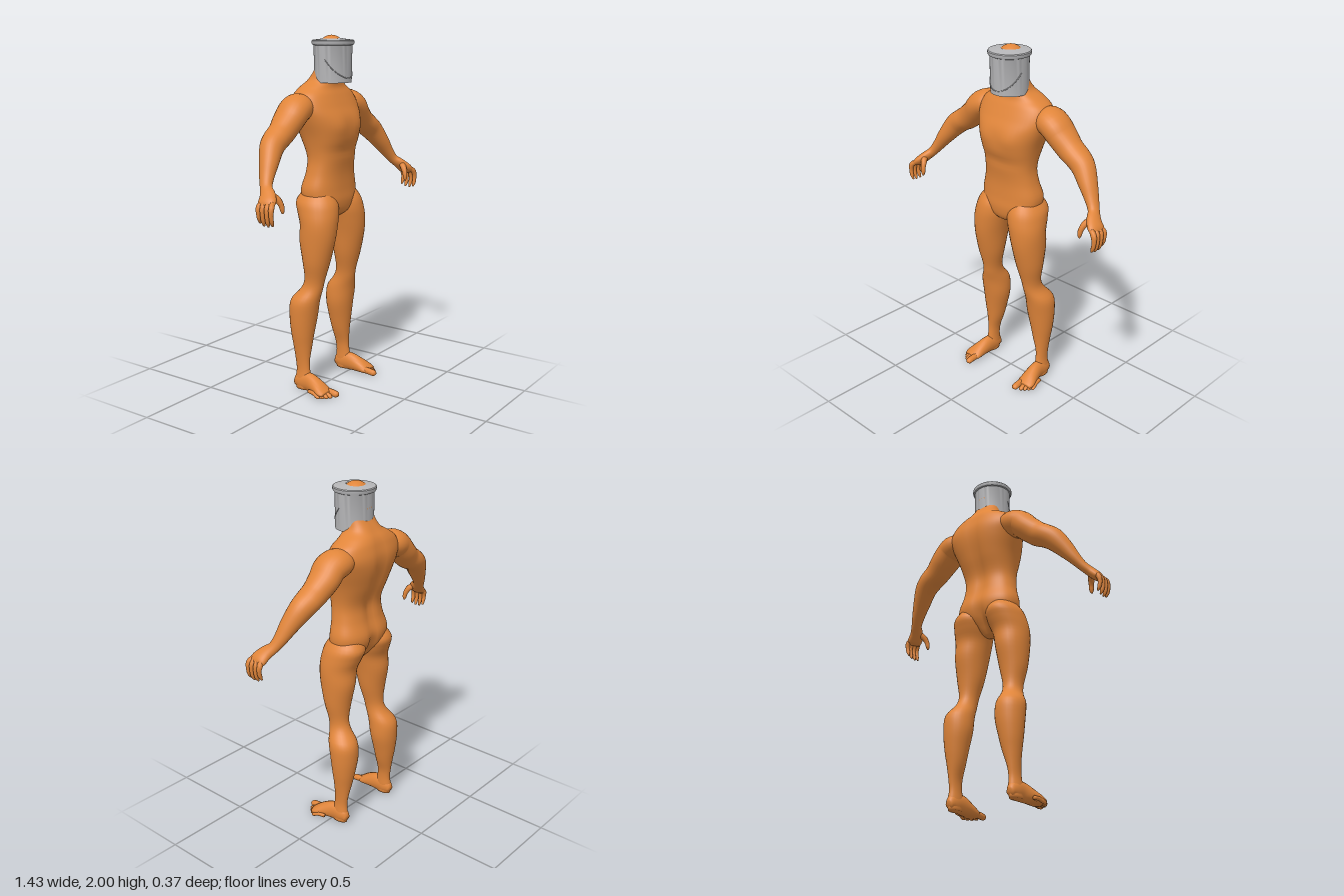
import * as THREE from 'three';
import { toCreasedNormals } from 'three/addons/utils/BufferGeometryUtils.js';

const X = new THREE.Vector3(1, 0, 0);
const Y = new THREE.Vector3(0, 1, 0);
const Z = new THREE.Vector3(0, 0, 1);
const bump = (v, centre, width) => Math.exp(-(((v - centre) / width) ** 2));

// Smooth skin through elliptical sections [x, y, z, radius across, radius along side].
function loft(sections, { side = Z, tangent = null, sx = 1, n = 20, steps = 4, power = 1, deform = null } = {}) {
  const curve = (f) => new THREE.CatmullRomCurve3(sections.map(f), false, 'catmullrom', 0.5);
  const path = curve((s) => new THREE.Vector3(s[0] * sx, s[1], s[2]));
  const radii = curve((s) => new THREE.Vector3(s[3], s[4], 0));
  const rows = (sections.length - 1) * steps;
  const pos = [], index = [];
  const round = (v) => Math.sign(v) * Math.abs(v) ** power;
  for (let i = 0; i <= rows; i++) {
    const c = path.getPoint(i / rows), r = radii.getPoint(i / rows);
    const T = tangent || path.getTangent(i / rows);
    const S = side.clone().addScaledVector(T, -side.dot(T)).normalize();
    const N = S.clone().cross(T);
    for (let j = 0; j < n; j++) {
      const a = (j / n) * Math.PI * 2;
      const p = c.clone().addScaledVector(N, r.x * round(Math.cos(a))).addScaledVector(S, r.y * round(Math.sin(a)));
      if (deform) deform(p, c);
      pos.push(p.x, p.y, p.z);
    }
  }
  for (let i = 0; i < rows; i++) {
    for (let j = 0; j < n; j++) {
      const a = i * n + j, b = i * n + ((j + 1) % n);
      index.push(a, b, a + n, b, b + n, a + n);
    }
  }
  // End caps
  const first = path.getPoint(0), last = path.getPoint(1), k = pos.length / 3;
  pos.push(first.x, first.y, first.z, last.x, last.y, last.z);
  for (let j = 0; j < n; j++) {
    const q = (j + 1) % n;
    index.push(k, q, j, k + 1, rows * n + j, rows * n + q);
  }
  const g = new THREE.BufferGeometry();
  g.setAttribute('position', new THREE.Float32BufferAttribute(pos, 3));
  g.setIndex(index);
  g.computeVertexNormals();
  return g;
}

// Level section from its bounds: height, inner x, outer x, front z, back z.
const level = ([y, x0, x1, zf, zb]) => [(x0 + x1) / 2, y, (zf + zb) / 2, (x1 - x0) / 2, (zf - zb) / 2];

export function createModel() {
  const model = new THREE.Group();
  const skin = new THREE.MeshStandardMaterial({ color: 0xe0853a });
  skin.name = 'orange skin';
  const metal = new THREE.MeshStandardMaterial({ color: 0xb6b6b8, side: THREE.DoubleSide });
  metal.name = 'grey metal';
  const add = (parent, name, geometry, material = skin) => {
    const mesh = new THREE.Mesh(geometry, material);
    mesh.name = name;
    parent.add(mesh);
    return mesh;
  };

  // Torso and neck: height, half width, front z, back z
  const torso = [
    [0.99, 0.03, 0.03, -0.04], [1.03, 0.1, 0.085, -0.075], [1.09, 0.175, 0.1, -0.12],
    [1.16, 0.193, 0.095, -0.135], [1.25, 0.17, 0.093, -0.112], [1.34, 0.16, 0.105, -0.108],
    [1.45, 0.18, 0.128, -0.15], [1.55, 0.215, 0.122, -0.18], [1.62, 0.235, 0.09, -0.186],
    [1.68, 0.215, 0.06, -0.172], [1.72, 0.16, 0.04, -0.155], [1.76, 0.1, 0.04, -0.125],
    [1.82, 0.085, 0.05, -0.085], [1.88, 0.08, 0.05, -0.07],
  ].map(([y, w, f, b]) => level([y, -w, w, f, b]));
  const muscles = (p, c) => {
    if (p.z < c.z) {
      p.z += 0.022 * bump(p.x, 0, 0.035) * bump(p.y, 1.42, 0.26); // spine
      p.z += 0.025 * bump(p.x, 0, 0.025) * bump(p.y, 1.09, 0.07); // seat cleft
    } else {
      p.z += 0.01 * bump(Math.abs(p.x), 0.09, 0.06) * bump(p.y, 1.51, 0.05); // chest
      p.z -= 0.008 * bump(p.y, 1.38, 0.03) * bump(p.x, 0, 0.15);
    }
  };
  add(model, 'torso', loft(torso, { tangent: Y, n: 48, steps: 5, power: 0.85, deform: muscles }));

  // Head, with its crown showing through the bucket
  const head = add(model, 'head', new THREE.SphereGeometry(1, 32, 24));
  head.scale.set(0.098, 0.13, 0.095);
  head.position.set(0, 1.87, 0);

  const leg = [
    [1.17, 0.06, 0.16, 0.05, -0.09], [1.1, 0.015, 0.213, 0.1, -0.14], [1.04, 0.015, 0.23, 0.117, -0.125],
    [0.97, 0.035, 0.238, 0.12, -0.098], [0.88, 0.055, 0.237, 0.112, -0.098], [0.76, 0.075, 0.228, 0.085, -0.075],
    [0.66, 0.1, 0.21, 0.057, -0.065], [0.6, 0.105, 0.217, 0.045, -0.085], [0.53, 0.098, 0.257, 0.03, -0.14],
    [0.44, 0.098, 0.26, 0.015, -0.147], [0.34, 0.12, 0.252, 0, -0.135], [0.26, 0.14, 0.24, -0.01, -0.12],
    [0.18, 0.166, 0.23, -0.016, -0.105], [0.12, 0.172, 0.228, -0.012, -0.098],
    [0.06, 0.17, 0.235, 0, -0.105], [0.01, 0.174, 0.233, 0, -0.1],
  ].map(level);
  const foot = [
    [0.203, 0.035, -0.105, 0.02, 0.02], [0.203, 0.05, -0.07, 0.05, 0.033], [0.204, 0.055, -0.01, 0.055, 0.036],
    [0.212, 0.043, 0.05, 0.043, 0.045], [0.221, 0.028, 0.1, 0.027, 0.054], [0.224, 0.02, 0.128, 0.016, 0.045],
  ];
  const arm = [
    [0.14, 1.625, -0.07, 0.04, 0.06], [0.21, 1.62, -0.066, 0.075, 0.09], [0.268, 1.602, -0.055, 0.077, 0.095],
    [0.318, 1.553, -0.057, 0.073, 0.09], [0.378, 1.5, -0.053, 0.07, 0.076], [0.43, 1.468, -0.05, 0.065, 0.074],
    [0.48, 1.43, -0.04, 0.063, 0.065], [0.535, 1.36, -0.015, 0.049, 0.053], [0.578, 1.297, 0.005, 0.035, 0.041],
    [0.613, 1.247, 0.028, 0.027, 0.033], [0.642, 1.215, 0.06, 0.027, 0.043], [0.672, 1.185, 0.08, 0.026, 0.052],
    [0.69, 1.165, 0.086, 0.016, 0.044],
  ];

  for (const [label, sx] of [['left', 1], ['right', -1]]) {
    const limb = new THREE.Group();
    limb.name = label + 'Limbs';
    model.add(limb);
    add(limb, label + 'Leg', loft(leg, { sx, tangent: Y.clone().negate(), n: 28 }));
    const flatten = (p) => { p.y = Math.max(p.y, 0.004); };
    add(limb, label + 'Foot', loft(foot, { sx, side: X, deform: flatten }));
    add(limb, label + 'Arm', loft(arm, { sx, n: 28 }));

    // Toes: root x, tip x, tip z, radius
    [
      [0.193, 0.194, 0.184, 0.019], [0.218, 0.226, 0.162, 0.013], [0.234, 0.245, 0.148, 0.012],
      [0.248, 0.26, 0.13, 0.012], [0.258, 0.273, 0.11, 0.011],
    ].forEach(([x0, x1, z, r], i) => {
      const toe = [
        [x0, 0.026, z - 0.085, r, r], [(x0 + x1) / 2, 0.024, z - 0.045, r, r],
        [x1, r, z - 0.012, r * 0.9, r], [x1, r * 0.9, z, r * 0.4, r * 0.5],
      ];
      add(limb, label + 'Toe' + (i + 1), loft(toe, { sx, side: X, n: 10, steps: 3, deform: flatten }));
    });

    // Curled fingers, front to back, and the thumb
    [[0.128, 0.006], [0.102, 0], [0.074, 0.002], [0.048, 0.014]].forEach(([z, lift], i) => {
      const finger = [
        [0.67, 1.188, z * 0.7 + 0.025, 0.014, 0.014], [0.697, 1.165, z, 0.016, 0.015],
        [0.703, 1.125 + lift / 2, z + 0.002, 0.012, 0.012], [0.697, 1.09 + lift, z + 0.002, 0.011, 0.011],
        [0.687, 1.067 + lift, z, 0.005, 0.005],
      ];
      add(limb, label + 'Finger' + (i + 1), loft(finger, { sx, n: 10, steps: 3 }));
    });
    const thumb = [
      [0.64, 1.222, 0.07, 0.018, 0.018], [0.618, 1.2, 0.1, 0.018, 0.018], [0.606, 1.168, 0.118, 0.014, 0.015],
      [0.602, 1.14, 0.123, 0.012, 0.012], [0.602, 1.122, 0.124, 0.005, 0.005],
    ];
    add(limb, label + 'Thumb', loft(thumb, { sx, n: 10, steps: 3 }));
  }

  // Upturned bucket: wall, rolled rim and broken base around the crown
  const bucket = new THREE.Group();
  bucket.name = 'bucket';
  bucket.position.z = 0.01;
  model.add(bucket);
  const profile = [[0.103, 1.745], [0.106, 1.945], [0.113, 1.948], [0.117, 1.956], [0.117, 1.968], [0.113, 1.973], [0.045, 1.982]]
    .map(([r, y]) => new THREE.Vector2(r, y));
  add(bucket, 'bucketShell', toCreasedNormals(new THREE.LatheGeometry(profile, 48), 0.6), metal);

  // Thin wire handle lying against the front of the wall
  const wire = [];
  for (let i = -8; i <= 8; i++) {
    const a = (i / 8) * 1.4;
    wire.push(new THREE.Vector3(0.105 * Math.sin(a), 1.77 + 0.1 * (i / 8) ** 2, 0.105 * Math.cos(a)));
  }
  add(bucket, 'bucketHandle', new THREE.TubeGeometry(new THREE.CatmullRomCurve3(wire), 48, 0.0025, 6), metal);

  return model;
}
